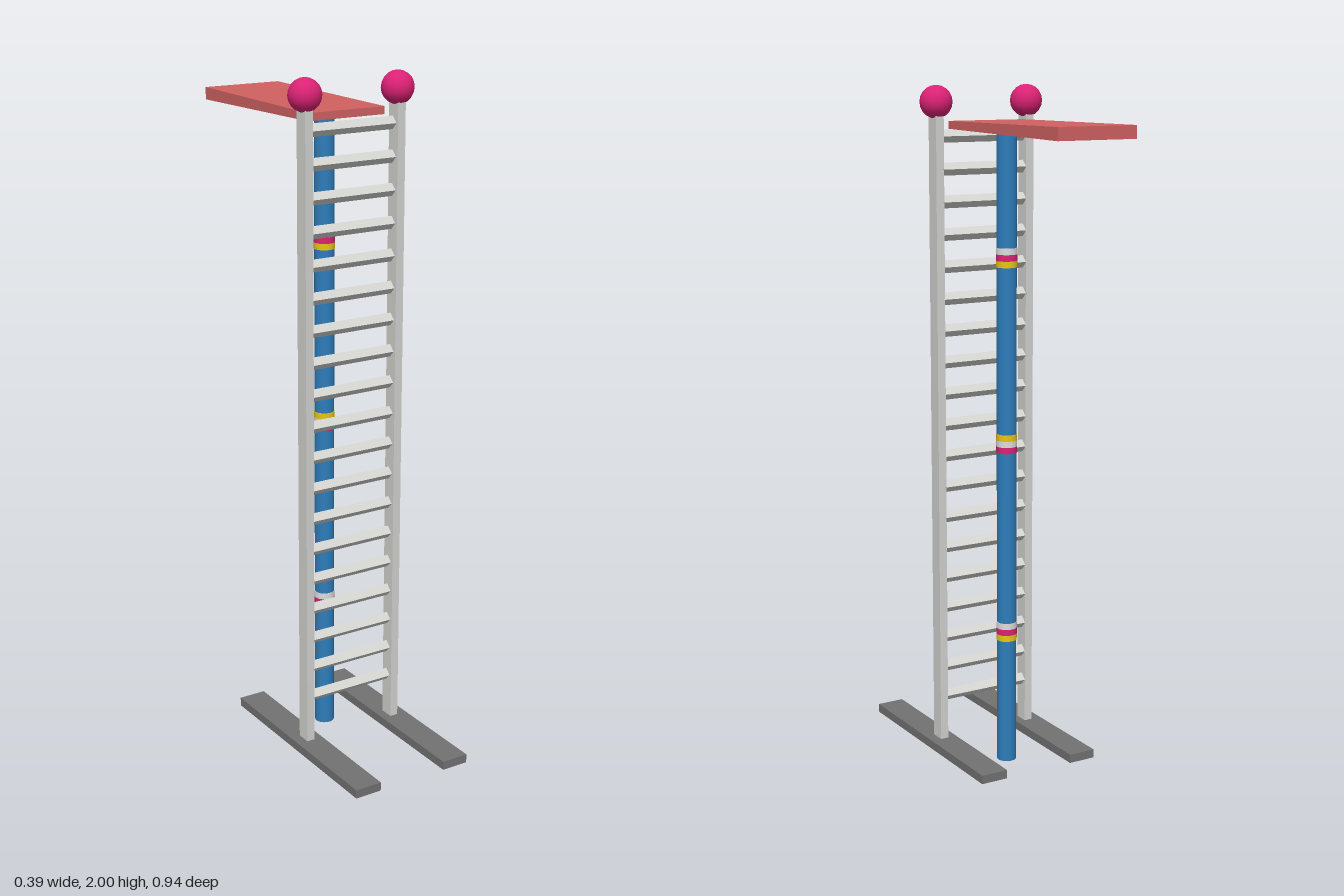
import * as THREE from 'three';

const mat = (name, color) => {
  const m = new THREE.MeshStandardMaterial({ color });
  m.name = name;
  return m;
};

export function createModel() {
  const group = new THREE.Group();
  const lightGrey = mat('light grey', 0xd3d3d0);
  const darkGrey = mat('dark grey', 0x727272);
  const red = mat('board red', 0xd06161);
  const blue = mat('pole blue', 0x2e7dba);
  const pink = mat('pink', 0xdc2275);
  const yellow = mat('yellow', 0xe8c814);
  const white = mat('band white', 0xdedede);

  const add = (name, geometry, material, x, y, z) => {
    const mesh = new THREE.Mesh(geometry, material);
    mesh.name = name;
    mesh.position.set(x, y, z);
    group.add(mesh);
    return mesh;
  };

  // Ladder sides with their feet and ball finials
  const ladderZ = 0.131;
  for (const [side, s] of [['left', 1], ['right', -1]]) {
    add(side + 'Foot', new THREE.BoxGeometry(0.083, 0.026, 0.662), darkGrey, s * 0.151, 0.034, 0.136);
    add(side + 'Rail', new THREE.BoxGeometry(0.025, 1.88, 0.044), lightGrey, s * 0.149, 0.987, ladderZ);
    add(side + 'Ball', new THREE.SphereGeometry(0.047, 14, 10), pink, s * 0.149, 1.953, ladderZ);
  }

  // Rungs: square bars set on edge
  const rungGeometry = new THREE.CylinderGeometry(0.0185, 0.0185, 0.28, 4).toNonIndexed();
  rungGeometry.computeVertexNormals();
  rungGeometry.rotateZ(Math.PI / 2);
  for (let i = 0; i < 19; i++) {
    add('rung' + (i + 1), rungGeometry, lightGrey, 0, 0.181 + i * 0.0931, 0.127);
  }

  // Diving board, slightly thicker towards its free end
  const outline = new THREE.Shape([
    [-0.108, 1.878], [0.468, 1.868], [0.468, 1.904], [-0.108, 1.9],
  ].map(([x, y]) => new THREE.Vector2(x, y)));
  const boardGeometry = new THREE.ExtrudeGeometry(outline, { depth: 0.246, bevelEnabled: false });
  boardGeometry.rotateY(Math.PI / 2);
  add('divingBoard', boardGeometry, red, -0.124, 0, 0);

  // Support pole
  const poleX = 0.006, poleZ = -0.019;
  add('pole', new THREE.CylinderGeometry(0.029, 0.029, 1.88, 20), blue, poleX, 0.94, poleZ);

  // Three coloured rings in each band, listed from the top down
  const bands = [
    [1.547, [white, pink, yellow]],
    [1.006, [yellow, white, pink]],
    [0.434, [white, pink, yellow]],
  ];
  const ringHeight = 0.0185;
  const ringGeometry = new THREE.CylinderGeometry(0.0305, 0.0305, ringHeight, 20);
  for (const [top, colours] of bands) {
    colours.forEach((m, i) => {
      add('poleRing', ringGeometry, m, poleX, top - ringHeight * (i + 0.5), poleZ);
    });
  }

  return group;
}
